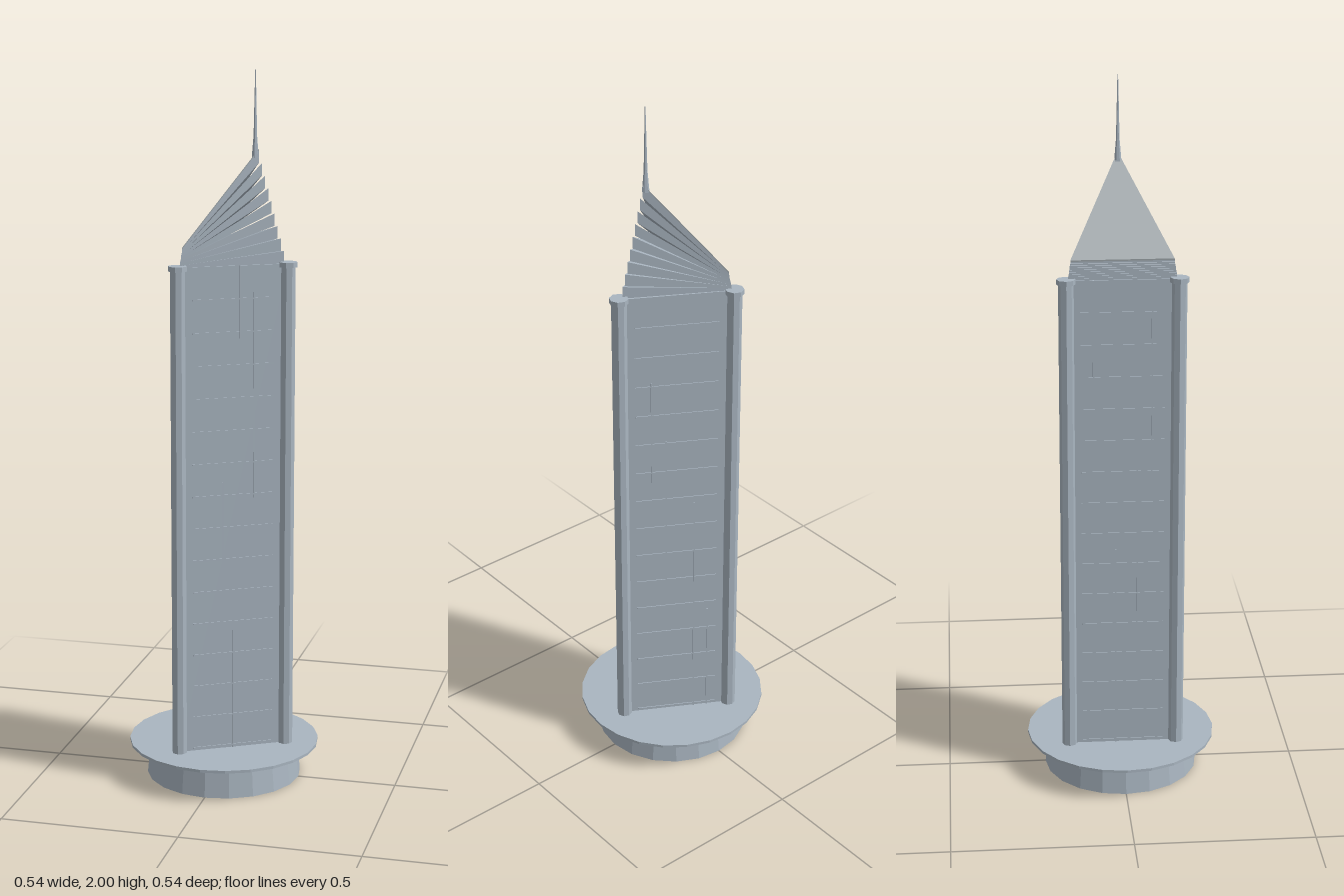
import * as THREE from 'three';

export function createModel() {
  const model = new THREE.Group();
  const steel = new THREE.MeshStandardMaterial({ color: 0xa9b5c0, flatShading: true });
  steel.name = 'blue grey steel';
  const slate = new THREE.MeshStandardMaterial({ color: 0x9da5a9, flatShading: true });
  slate.name = 'roof grey';

  const add = (name, geometry, x = 0, y = 0, z = 0, parent = model, material = steel) => {
    const mesh = new THREE.Mesh(geometry, material);
    mesh.name = name;
    mesh.position.set(x, y, z);
    parent.add(mesh);
    return mesh;
  };
  const cylinder = (top, bottom, height, sides) => new THREE.CylinderGeometry(top, bottom, height, sides);

  // Triangular prism between two rings of three corners, ordered east, back, front
  const prism = (lower, upper) => {
    const p = [];
    const tri = (a, b, c) => p.push(...a, ...b, ...c);
    tri(...upper);
    tri(lower[0], lower[2], lower[1]);
    for (let i = 0; i < 3; i++) {
      const j = (i + 1) % 3;
      tri(lower[i], lower[j], upper[j]);
      tri(lower[i], upper[j], upper[i]);
    }
    const g = new THREE.BufferGeometry();
    g.setAttribute('position', new THREE.Float32BufferAttribute(p, 3));
    g.computeVertexNormals();
    return g;
  };
  const ring = (east, eastY, west, westY, halfWidth) =>
    [[east, eastY, 0], [west, westY, -halfWidth], [west, westY, halfWidth]];

  // Round plinth and overhanging terrace
  add('plinth', cylinder(0.21, 0.22, 0.094, 20), 0, 0.047);
  add('terrace', cylinder(0.27, 0.27, 0.008, 24), 0, 0.098);

  // Triangular shaft
  const corners = [[0.18, 0], [-0.09, -0.153], [-0.09, 0.153]];
  add('shaft', prism(ring(0.18, 0.1, -0.09, 0.1, 0.153), ring(0.18, 1.48, -0.09, 1.48, 0.153)));

  // Corner columns with caps
  for (const [x, z] of corners) {
    add('cornerColumn', cylinder(0.021, 0.021, 1.375, 8), x, 0.7875, z);
    add('columnCap', cylinder(0.026, 0.026, 0.014, 8), x, 1.478, z);
  }

  // Each wall: floor lines plus a few mullions given as [offset, bottom, top]
  const mullions = [
    [[0.05, 0.1, 0.82], [-0.03, 0.55, 1.03], [-0.07, 0.9, 1.22], [0.09, 0.1, 0.45]],
    [[-0.08, 1.2, 1.48], [0.04, 0.3, 1.0], [-0.02, 0.1, 0.7], [0.08, 0.85, 1.48]],
    [[0.02, 1.28, 1.48], [-0.03, 0.32, 0.88], [0, 0.1, 0.45], [0.06, 0.83, 1.48]],
  ];
  corners.forEach(([x0, z0], i) => {
    const [x1, z1] = corners[(i + 1) % 3];
    const wall = new THREE.Group();
    wall.name = 'wallDetail';
    wall.position.set((x0 + x1) / 2, 0, (z0 + z1) / 2);
    wall.rotation.y = -Math.atan2(z1 - z0, x1 - x0);
    for (let k = 0; k < 15; k++)
      add('floorLine', new THREE.BoxGeometry(0.23, 0.004, 0.005), 0, 0.11 + k * 0.0914, 0, wall);
    for (const [u, low, high] of mullions[i])
      add('mullion', new THREE.BoxGeometry(0.004, high - low, 0.006), u, (low + high) / 2, 0, wall);
    model.add(wall);
  });

  // Roof of tilted tiers fanning up from the low west edge
  const tiers = 9;
  const level = (t, inset) => ring(
    THREE.MathUtils.lerp(0.168, 0.097, inset), THREE.MathUtils.lerp(1.48, 1.785, t),
    -0.086 + 0.006 * inset, 1.48 + 0.05 * t, 0.147 - 0.007 * inset);
  for (let i = 0; i < tiers; i++) {
    const inset = i / (tiers - 1);
    add('roofTier', prism(level(i / tiers, inset), level((i + 1) / tiers, inset)));
  }

  // Smooth sloping roof plate
  const plate = (lift) => level(1, 1).map(([x, y, z]) => [x, y + lift, z]);
  add('roofPlate', prism(plate(0), plate(0.004)), 0, 0, 0, model, slate);

  // Spire
  add('spireBase', cylinder(0.005, 0.01, 0.06, 6), 0.087, 1.795, 0);
  add('spire', cylinder(0.001, 0.005, 0.175, 6), 0.087, 1.9125, 0);

  return model;
}
